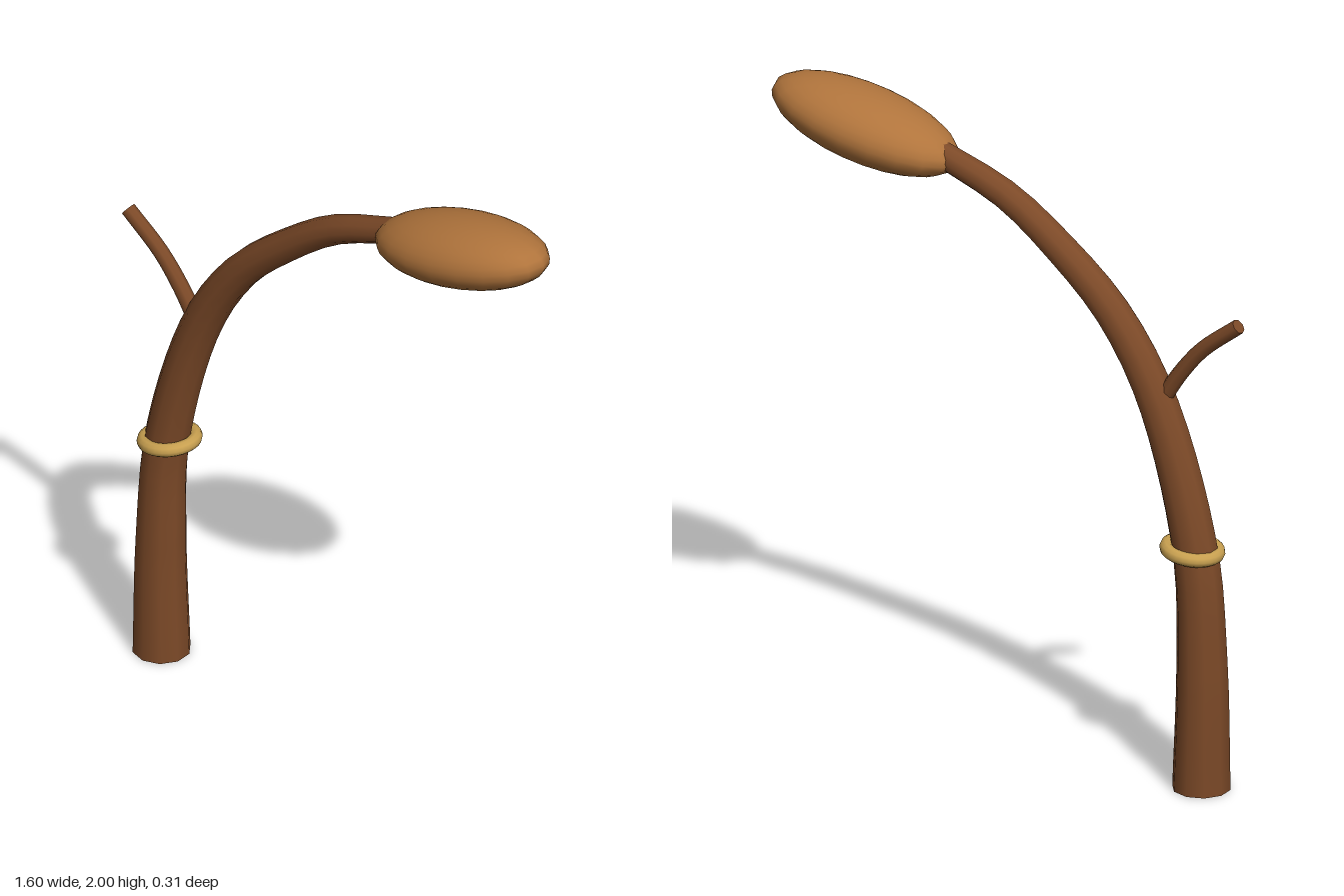
import * as THREE from 'three';

const bark = new THREE.MeshStandardMaterial({ color: 0x7d4a28 });
const bulb = new THREE.MeshStandardMaterial({ color: 0xb0743c });
const gold = new THREE.MeshStandardMaterial({ color: 0xc8a050 });

// Capped, tapering limb: a cylinder bent along a curve in the xy plane
function limb(name, points, radii, sides, steps) {
  const curve = new THREE.CatmullRomCurve3(points.map(([x, y]) => new THREE.Vector3(x, y, 0)));
  const geo = new THREE.CylinderGeometry(1, 1, 1, sides, steps);
  const pos = geo.attributes.position, nor = geo.attributes.normal;
  const across = new THREE.Vector3(), depth = new THREE.Vector3(0, 0, 1), v = new THREE.Vector3();
  for (let i = 0; i < pos.count; i++) {
    const t = THREE.MathUtils.clamp(pos.getY(i) + 0.5, 0, 1);
    const along = curve.getTangentAt(t);
    across.set(along.y, -along.x, 0);
    // Radius interpolated between evenly spaced values
    const k = t * (radii.length - 1), j = Math.min(Math.floor(k), radii.length - 2);
    const r = THREE.MathUtils.lerp(radii[j], radii[j + 1], k - j);
    v.copy(curve.getPointAt(t))
      .addScaledVector(across, pos.getX(i) * r)
      .addScaledVector(depth, pos.getZ(i) * r);
    pos.setXYZ(i, v.x, v.y, v.z);
    v.set(0, 0, 0)
      .addScaledVector(across, nor.getX(i))
      .addScaledVector(along, nor.getY(i))
      .addScaledVector(depth, nor.getZ(i));
    nor.setXYZ(i, v.x, v.y, v.z);
  }
  const mesh = new THREE.Mesh(geo, bark);
  mesh.name = name;
  return mesh;
}

export function createModel() {
  const model = new THREE.Group();
  model.name = 'curvedBranchLamp';

  // Main stem, arching over towards +x
  model.add(limb('stem', [
    [-0.658, 0.004], [-0.66, 0.4], [-0.637, 0.75], [-0.508, 1.2],
    [-0.357, 1.45], [-0.156, 1.635], [0.01, 1.75], [0.24, 1.84],
  ], [0.088, 0.073, 0.063, 0.052, 0.04], 10, 28));

  // Small side twig
  model.add(limb('twig', [
    [-0.53, 1.22], [-0.585, 1.305], [-0.66, 1.395], [-0.785, 1.495],
  ], [0.026, 0.024, 0.023], 8, 12));

  // Long oval head at the tip
  const head = new THREE.Mesh(new THREE.SphereGeometry(1, 20, 16), bulb);
  head.name = 'head';
  head.scale.set(0.316, 0.104, 0.157);
  head.rotation.z = 0.215;
  head.position.set(0.49, 1.879, 0);
  model.add(head);

  // Band around the stem
  const ring = new THREE.Mesh(new THREE.TorusGeometry(0.077, 0.021, 10, 28), gold);
  ring.name = 'band';
  ring.rotation.set(Math.PI / 2, 0.13, 0);
  const tilt = new THREE.Group();
  tilt.name = 'bandTilt';
  ring.rotation.set(Math.PI / 2, 0, 0);
  tilt.rotation.z = 0.13;
  tilt.position.set(-0.627, 0.755, 0);
  tilt.add(ring);
  model.add(tilt);

  return model;
}
